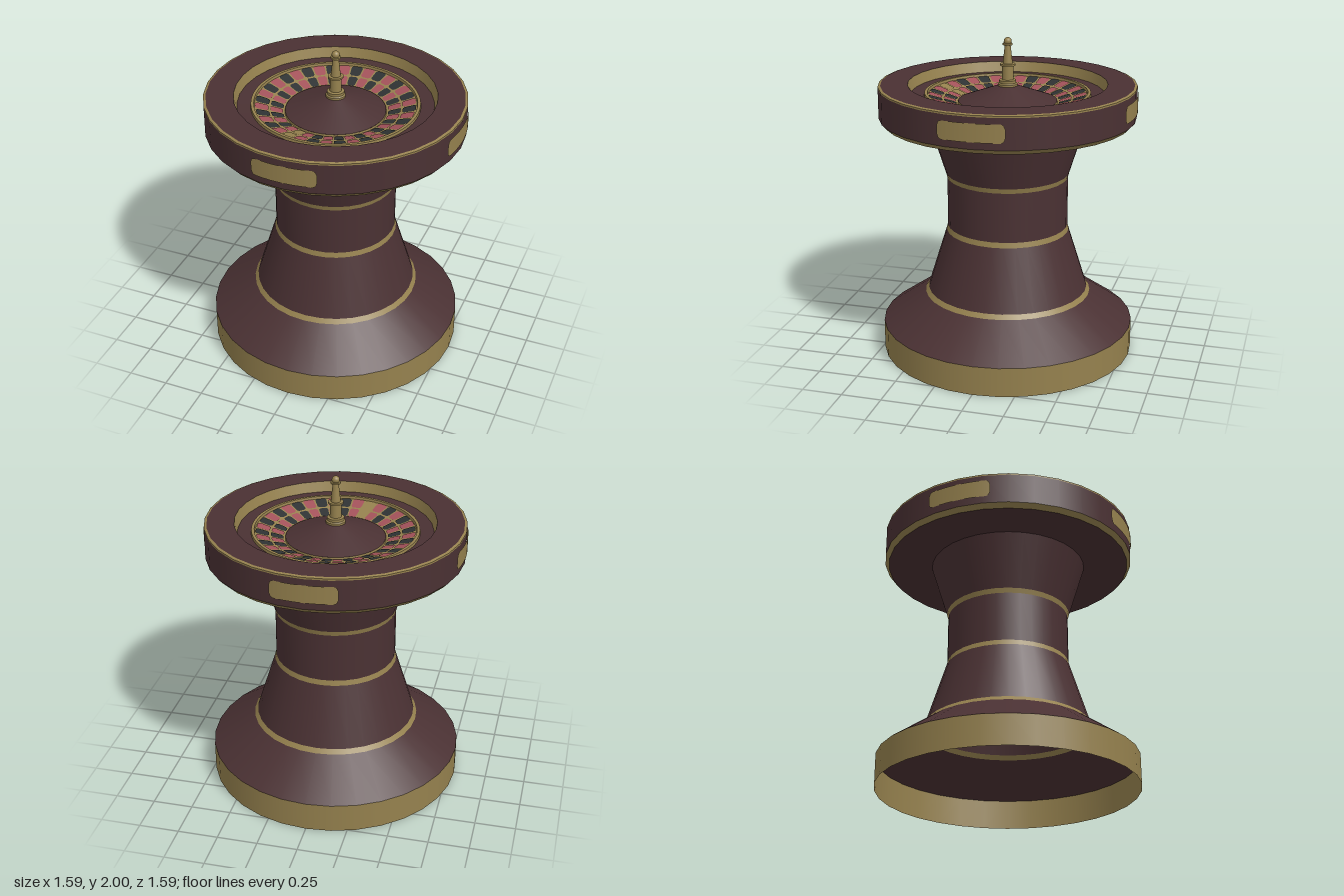
import * as THREE from 'three';
import { mergeGeometries } from 'three/addons/utils/BufferGeometryUtils.js';

const material = (name, color) =>
  new THREE.MeshStandardMaterial({ name, color, side: THREE.DoubleSide });

export function createModel() {
  const wood = material('dark wood', 0x4a3133);
  const gold = material('aged gold', 0x95814e);
  const red = material('pocket red', 0xa3525a);
  const black = material('pocket black', 0x2e3233);
  const model = new THREE.Group();
  model.name = 'rouletteTable';

  const add = (name, geometry, mat, parent = model) => {
    const mesh = new THREE.Mesh(geometry, mat);
    mesh.name = name;
    parent.add(mesh);
    return mesh;
  };
  // Turned surface with a crisp edge at every profile point
  const turned = (name, mat, profile, sides = 32) => {
    const rings = profile.slice(1).map((p, i) => new THREE.LatheGeometry(
      [new THREE.Vector2(...profile[i]), new THREE.Vector2(...p)], sides));
    return add(name, mergeGeometries(rings), mat);
  };

  // Hollow pedestal, open at the bottom
  turned('baseRing', gold, [[0.795, 0], [0.795, 0.185]]);
  turned('baseSlope', wood, [[0.795, 0.185], [0.525, 0.375]]);
  turned('lowerBand', gold, [[0.525, 0.375], [0.505, 0.402]]);
  turned('lowerColumn', wood, [[0.505, 0.402], [0.385, 0.785]]);
  turned('middleBand', gold, [[0.385, 0.785], [0.377, 0.817]]);
  turned('waist', wood, [[0.377, 0.817], [0.377, 1.13]]);
  turned('upperBand', gold, [[0.377, 1.13], [0.385, 1.16]]);
  turned('upperColumn', wood, [[0.385, 1.16], [0.488, 1.49]]);

  // Bowl
  turned('bowlUnderside', wood, [[0.0, 1.49], [0.765, 1.49]]);
  turned('bowlLowerBevel', gold, [[0.765, 1.49], [0.79, 1.518]]);
  turned('bowlWall', wood, [[0.79, 1.518], [0.79, 1.705]]);
  turned('bowlRim', gold, [[0.79, 1.705], [0.79, 1.715], [0.775, 1.72]]);
  turned('bowlTop', wood, [[0.775, 1.72], [0.61, 1.72]]);
  turned('bowlInnerWall', gold, [[0.61, 1.72], [0.592, 1.655]]);
  turned('ballTrack', wood, [[0.592, 1.655], [0.51, 1.65]]);

  // Wheel: gold bed, raised rings and centre cone
  const bedY = r => 1.6 + (r - 0.31) / 0.175 * 0.05;
  turned('wheelBed', gold, [
    [0.51, 1.65], [0.508, 1.667], [0.49, 1.667], [0.487, bedY(0.487)],
    [0.305, bedY(0.305)], [0.303, 1.612]], 72);
  turned('wheelCone', wood, [[0.303, 1.612], [0.04, 1.71]], 48);

  // Two rings of 36 pockets with clipped corners
  const pocket = (index, r0, r1) => {
    const mid = (index + 0.5) * Math.PI / 18, h = 0.077, c = 0.012, ca = 0.025;
    const shape = new THREE.Shape([
      [-h + ca, r0], [h - ca, r0], [h, r0 + c], [h, r1 - c],
      [h - ca, r1], [-h + ca, r1], [-h, r1 - c], [-h, r0 + c],
    ].map(p => new THREE.Vector2(...p)));
    const geometry = new THREE.ShapeGeometry(shape);
    const pos = geometry.attributes.position;
    for (let i = 0; i < pos.count; i++) {
      const t = mid + pos.getX(i), r = pos.getY(i);
      pos.setXYZ(i, -Math.cos(t) * r, bedY(r) + 0.005, -Math.sin(t) * r);
    }
    geometry.computeVertexNormals();
    return geometry;
  };
  const sets = [['blackPockets', black, []], ['redPockets', red, []], ['zeroPockets', gold, []]];
  for (let i = 0; i < 36; i++) {
    const set = sets[i === 28 ? 2 : i % 2][2];
    set.push(pocket(i, 0.402, 0.482), pocket(i, 0.316, 0.391));
  }
  for (const [name, mat, list] of sets) add(name, mergeGeometries(list), mat);

  // Spindle
  turned('spindle', gold, [
    [0.06, 1.69], [0.06, 1.715], [0.052, 1.722], [0.052, 1.738], [0.036, 1.742],
    [0.034, 1.825], [0.046, 1.827], [0.046, 1.838], [0.03, 1.84],
    [0.018, 1.95], [0.03, 1.953], [0.03, 1.963], [0.014, 1.966], [0.014, 1.975]], 24);
  add('spindleBall', new THREE.SphereGeometry(0.024, 20, 14), gold).position.y = 1.976;

  // Four rounded plates wrapped round the bowl wall
  const radius = 0.795, halfArc = 0.202, halfHeight = 0.055, corner = 0.03;
  const plate = new THREE.PlaneGeometry(halfArc * 2, 2, 48, 1);
  const pos = plate.attributes.position;
  for (let i = 0; i < pos.count; i++) {
    const s = pos.getX(i), inset = Math.max(0, corner - (halfArc - Math.abs(s)));
    const h = halfHeight - corner + Math.sqrt(Math.max(0, corner ** 2 - inset ** 2));
    const a = s / radius;
    pos.setXYZ(i, Math.sin(a) * radius, 1.615 + pos.getY(i) * h, Math.cos(a) * radius);
  }
  plate.computeVertexNormals();
  ['front', 'left', 'back', 'right'].forEach((side, i) => {
    add(side + 'Plate', plate, gold).rotation.y = i * Math.PI / 2;
  });

  return model;
}
